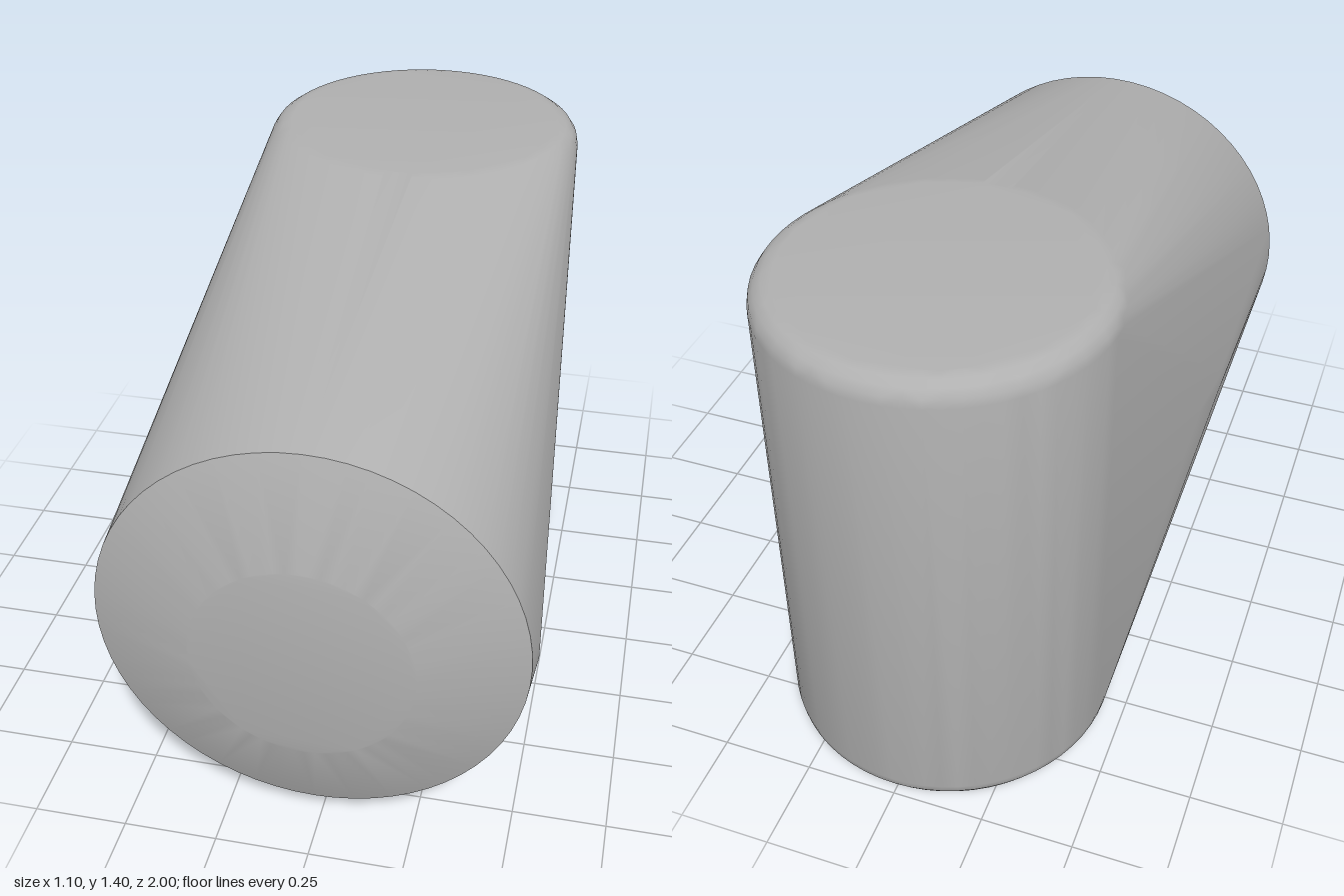
import * as THREE from 'three';
import { mergeVertices, toCreasedNormals } from 'three/addons/utils/BufferGeometryUtils.js';
import { ConvexGeometry } from 'three/addons/geometries/ConvexGeometry.js';

const SEGMENTS = 64;

// Points of a circle; place(c, s) turns the cosine and sine into a position
function ring(place) {
  return Array.from({ length: SEGMENTS }, (_, i) => {
    const a = (i / SEGMENTS) * Math.PI * 2;
    return place(Math.cos(a), Math.sin(a));
  });
}

export function createModel() {
  const group = new THREE.Group();
  group.name = 'taperedHousing';
  const grey = new THREE.MeshStandardMaterial({ color: 0xb0b0b0 });
  grey.name = 'grey';

  const points = [];

  // Upright rear cylinder with rounded rims
  const height = 1.405, radius = 0.45, bevel = 0.06, rearZ = -0.55, steps = 4;
  for (let k = 0; k <= steps; k++) {
    const t = (k / steps) * Math.PI / 2;
    const r = radius - bevel * (1 - Math.cos(t));
    const inset = bevel * (1 - Math.sin(t));
    for (const y of [inset, height - inset]) {
      points.push(...ring((c, s) => new THREE.Vector3(r * c, y, rearZ + r * s)));
    }
  }

  // Round front rim and the smaller flat nose ahead of it
  const frontY = 0.654;
  for (const [r, z, x] of [[0.542, 0.9, -0.005], [0.28, 1, 0]]) {
    points.push(...ring((c, s) => new THREE.Vector3(x + r * c, frontY + r * s, z)));
  }

  // Slight swelling of the flanks
  for (const [x, z] of [[-0.535, 0], [-0.55, 0.2], [0.545, 0.82]]) {
    for (const dy of [-0.03, 0.03]) points.push(new THREE.Vector3(x, frontY + dy, z));
  }

  // One taut skin around all sections, smooth except at the front rim
  let skin = new ConvexGeometry(points);
  skin.deleteAttribute('normal');
  skin = toCreasedNormals(mergeVertices(skin, 1e-4), 0.6);
  const body = new THREE.Mesh(skin, grey);
  body.name = 'body';
  group.add(body);
  return group;
}
